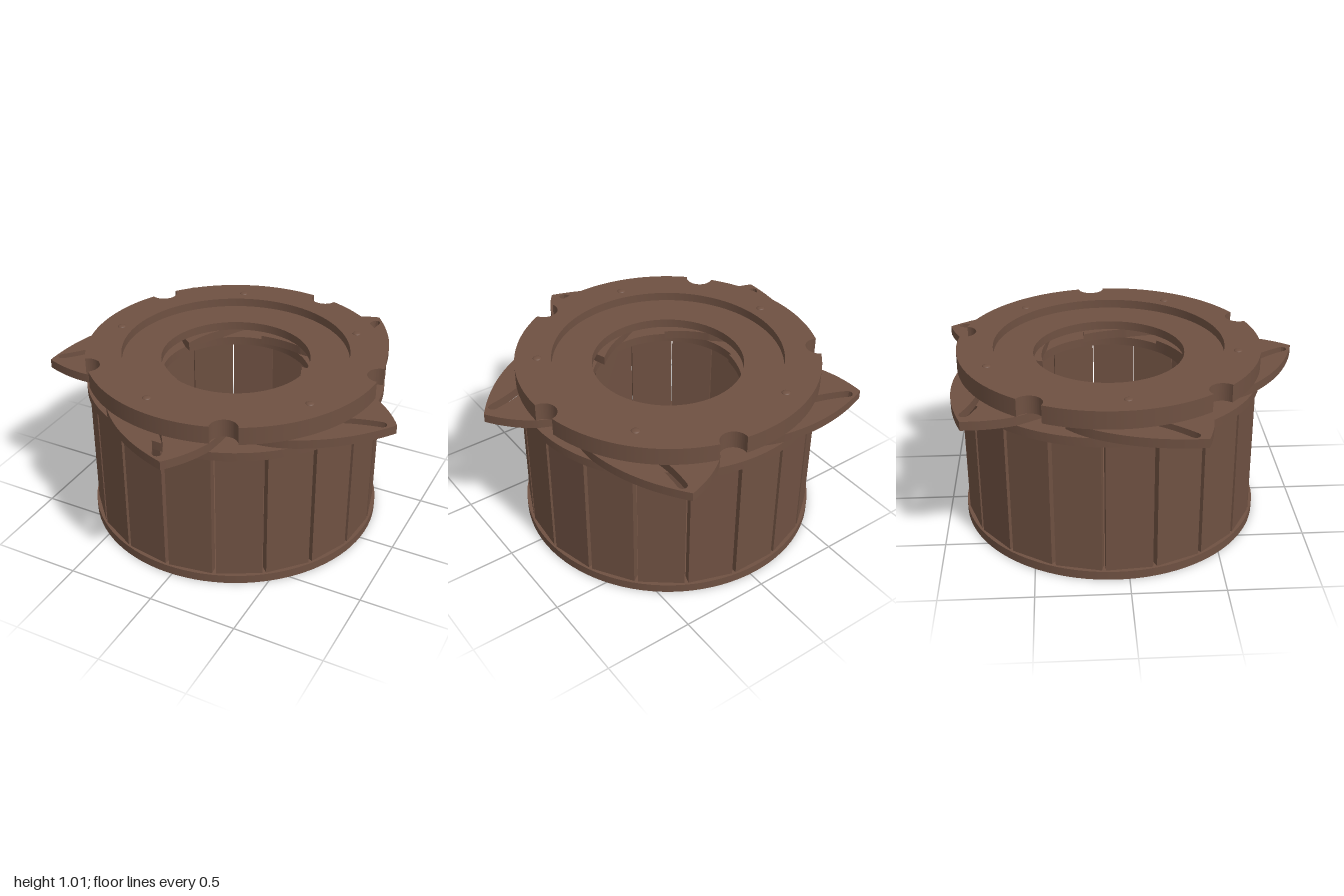
import * as THREE from 'three';
import { toCreasedNormals } from 'three/addons/utils/BufferGeometryUtils.js';

const R = 0.84, STEP = Math.PI * 2 / 5, DEG = Math.PI / 180;

// Extrude a plan shape (x, z) so that it spans from y = bottom to y = top
function plate(shape, bottom, top) {
  const g = new THREE.ExtrudeGeometry(shape, { depth: top - bottom, bevelEnabled: false, curveSegments: 48 });
  g.rotateX(Math.PI / 2);
  g.translate(0, top, 0);
  return toCreasedNormals(g, 0.5);
}

function hole(radius) {
  return new THREE.Path().absarc(0, 0, radius, 0, Math.PI * 2, true);
}

// Disc outline with five round bites taken out of the rim
function notchedDisc() {
  const shape = new THREE.Shape();
  const bite = 0.075, half = 2 * Math.asin(bite / (2 * R));
  for (let i = 0; i < 5; i++) {
    const a = -5 * DEG + i * STEP;
    const cx = R * Math.cos(a), cz = R * Math.sin(a);
    shape.absarc(0, 0, R, a - STEP + half, a - half, false);
    const p = a - half, q = a + half;
    const start = Math.atan2(R * Math.sin(p) - cz, R * Math.cos(p) - cx);
    const end = Math.atan2(R * Math.sin(q) - cz, R * Math.cos(q) - cx);
    shape.absarc(cx, cz, bite, start, end, true);
  }
  return shape;
}

// Pointed iris blade with a curved slot
function bladeShape() {
  const s = new THREE.Shape();
  s.moveTo(1.035, 0.207);
  s.quadraticCurveTo(0.86, 0.47, 0.605, 0.587);
  s.quadraticCurveTo(0.53, 0.62, 0.44, 0.63);
  s.quadraticCurveTo(0.46, 0.35, 0.407, 0.117);
  s.quadraticCurveTo(0.405, -0.01, 0.345, -0.133);
  s.lineTo(0.405, -0.133);
  s.quadraticCurveTo(0.62, -0.1, 0.835, 0);
  s.quadraticCurveTo(0.95, 0.075, 1.035, 0.207);

  const curve = new THREE.QuadraticBezierCurve(
    new THREE.Vector2(0.965, 0.237), new THREE.Vector2(0.79, 0.265), new THREE.Vector2(0.62, 0.365));
  const w = 0.026, left = [], right = [];
  for (let i = 0; i <= 12; i++) {
    const p = curve.getPoint(i / 12), t = curve.getTangent(i / 12);
    left.push(new THREE.Vector2(p.x - t.y * w, p.y + t.x * w));
    right.unshift(new THREE.Vector2(p.x + t.y * w, p.y - t.x * w));
  }
  // Rounded slot ends
  const cap = (t, sign) => {
    const p = curve.getPoint(t), d = curve.getTangent(t), base = Math.atan2(d.y, d.x);
    return [60, 30, 0, -30, -60].map(k => {
      const a = base + k * DEG + (sign < 0 ? Math.PI : 0);
      return new THREE.Vector2(p.x + Math.cos(a) * w, p.y + Math.sin(a) * w);
    });
  };
  s.holes.push(new THREE.Path([...left, ...cap(1, 1), ...right, ...cap(0, -1)]));
  return s;
}

export function createModel() {
  const model = new THREE.Group();
  model.name = 'irisBox';
  const wood = new THREE.MeshStandardMaterial({ color: 0x6f5142 });
  wood.name = 'brown wood';
  const body = new THREE.Group();
  body.name = 'body';
  body.position.set(-0.035, 0, -0.067);
  model.add(body);

  const add = (geometry, name, parent = body) => {
    const mesh = new THREE.Mesh(geometry, wood);
    mesh.name = name;
    parent.add(mesh);
    return mesh;
  };

  // Base
  add(new THREE.CylinderGeometry(R, R, 0.05, 96), 'basePlate').position.y = 0.025;

  // Wall of separate flat planks
  const planks = 19;
  const plankGeometry = new THREE.BoxGeometry(0.251, 0.75, 0.05);
  for (let i = 0; i < planks; i++) {
    const a = (i + 0.5) * Math.PI * 2 / planks;
    const plank = add(plankGeometry, 'wallPlank');
    plank.position.set(Math.sin(a) * 0.793, 0.425, Math.cos(a) * 0.793);
    plank.rotation.y = a;
  }

  // Ring under the blades
  const lower = new THREE.Shape().absarc(0, 0, R, 0, Math.PI * 2, false);
  lower.holes.push(hole(0.42));
  add(plate(lower, 0.8, 0.85), 'lowerRing');

  // Notched lid in two layers, forming a stepped recess
  const lidFloor = notchedDisc();
  lidFloor.holes.push(hole(0.42));
  add(plate(lidFloor, 0.9, 0.95), 'lidFloorRing');
  const lidRim = notchedDisc();
  lidRim.holes.push(hole(0.64));
  add(plate(lidRim, 0.95, 1.0), 'lidRimRing');

  // Blades and their pins
  const bladeGeometry = plate(bladeShape(), 0.85, 0.9);
  const pinGeometry = new THREE.CylinderGeometry(0.022, 0.022, 0.15, 20);
  const domeGeometry = new THREE.SphereGeometry(0.024, 20, 8, 0, Math.PI * 2, 0, Math.PI / 2);
  domeGeometry.scale(1, 0.35, 1);
  for (let i = 0; i < 5; i++) {
    const unit = new THREE.Group();
    unit.name = 'bladeUnit';
    unit.rotation.y = -i * STEP;
    body.add(unit);
    add(bladeGeometry, 'irisBlade', unit);
    add(pinGeometry, 'pin', unit).position.set(0.615, 0.924, 0.367);
    add(domeGeometry, 'pinHead', unit).position.set(0.615, 0.999, 0.367);
  }
  return model;
}
